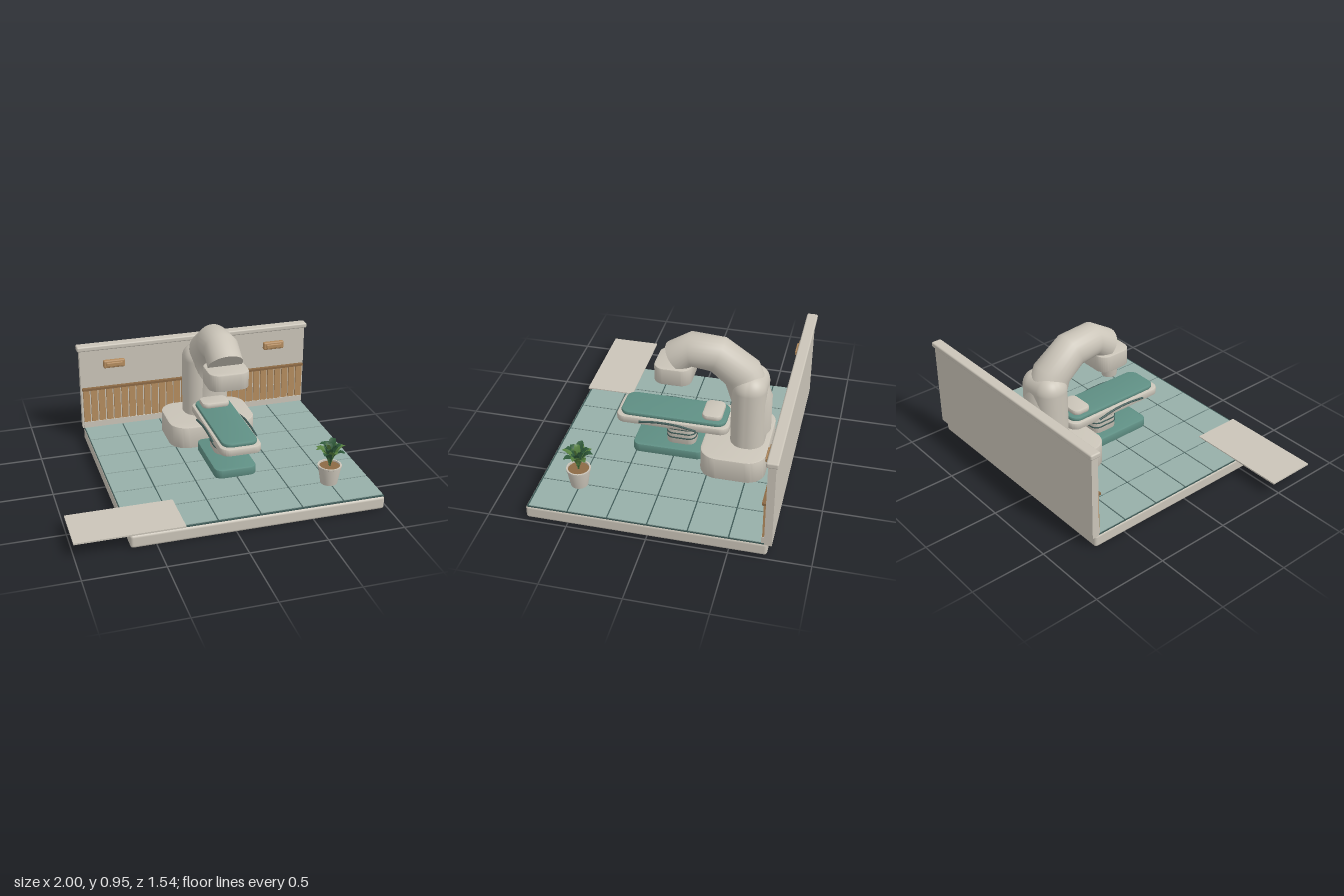
import * as THREE from 'three';
import { toCreasedNormals } from 'three/addons/utils/BufferGeometryUtils.js';
import { RoundedBoxGeometry } from 'three/addons/geometries/RoundedBoxGeometry.js';

const paint = (name, color, side = THREE.FrontSide) => {
  const m = new THREE.MeshStandardMaterial({ color, side });
  m.name = name;
  return m;
};

// Slab with a rounded outline seen from above and a small bevel, standing on y = 0
function slab(w, h, d, r, bevel = 0.008) {
  const s = new THREE.Shape(), x = w / 2, y = d / 2;
  s.moveTo(-x + r, -y);
  s.lineTo(x - r, -y).absarc(x - r, -y + r, r, -Math.PI / 2, 0);
  s.lineTo(x, y - r).absarc(x - r, y - r, r, 0, Math.PI / 2);
  s.lineTo(-x + r, y).absarc(-x + r, y - r, r, Math.PI / 2, Math.PI);
  s.lineTo(-x, -y + r).absarc(-x + r, -y + r, r, Math.PI, Math.PI * 1.5);
  const g = new THREE.ExtrudeGeometry(s, {
    depth: h - 2 * bevel, bevelThickness: bevel, bevelSize: bevel,
    bevelOffset: -bevel, bevelSegments: 2, curveSegments: 8,
  });
  g.rotateX(-Math.PI / 2).translate(0, bevel, 0);
  return toCreasedNormals(g, 0.7);
}

// Bent arm: each ring gives its outer and inner point as [z, y] and its half width
function armGeometry(rings, sides = 28) {
  const pos = [], idx = [];
  for (const [oz, oy, iz, iy, rx] of rings) {
    for (let k = 0; k < sides; k++) {
      const a = (k / sides) * Math.PI * 2, s = Math.sin(a) / 2;
      pos.push(rx * Math.cos(a), (oy + iy) / 2 + s * (oy - iy), (oz + iz) / 2 + s * (oz - iz));
    }
  }
  for (let i = 0; i < rings.length - 1; i++) {
    for (let k = 0; k < sides; k++) {
      const a = i * sides + k, b = i * sides + ((k + 1) % sides);
      idx.push(a, b, a + sides, b, b + sides, a + sides);
    }
  }
  const last = (rings.length - 1) * sides;
  for (let k = 1; k < sides - 1; k++) {
    idx.push(0, k + 1, k, last, last + k, last + k + 1);
  }
  const g = new THREE.BufferGeometry();
  g.setAttribute('position', new THREE.Float32BufferAttribute(pos, 3));
  g.setIndex(idx);
  return toCreasedNormals(g, 0.95);
}

// Folded leaf that rises and bends outwards along +z
function leafGeometry(reach, height, half) {
  const pos = [], idx = [], n = 6;
  for (let i = 0; i <= n; i++) {
    const t = i / n;
    const w = half * (0.15 + 0.85 * Math.sin(Math.PI * Math.pow(t, 1.3))) * (t === 1 ? 0.05 : 1);
    const y = height * Math.sin(t * 1.75), z = reach * Math.pow(t, 1.5);
    pos.push(-w, y + w * 0.35, z, 0, y, z, w, y + w * 0.35, z);
    if (i === n) break;
    for (const k of [0, 1]) {
      const a = i * 3 + k;
      idx.push(a, a + 3, a + 1, a + 1, a + 3, a + 4);
    }
  }
  const g = new THREE.BufferGeometry();
  g.setAttribute('position', new THREE.Float32BufferAttribute(pos, 3));
  g.setIndex(idx);
  g.computeVertexNormals();
  return g;
}

export function createModel() {
  const root = new THREE.Group();
  const beige = paint('warm beige', 0xcac4b8);
  const tileMat = paint('pale teal tile', 0x96aea8);
  const teal = paint('teal', 0x5f8f84);
  const dark = paint('dark teal', 0x3f5a57);
  const wood = paint('wood', 0xb48c5f);
  const darkWood = paint('dark wood', 0x8c6a45);
  const leafLight = paint('leaf green', 0x55803f, THREE.DoubleSide);
  const leafDark = paint('deep leaf green', 0x2f5a3a, THREE.DoubleSide);

  const add = (name, geo, mat, x = 0, y = 0, z = 0, parent = root) => {
    const m = new THREE.Mesh(geo, mat);
    m.name = name;
    m.position.set(x, y, z);
    parent.add(m);
    return m;
  };
  const box = (w, h, d) => new THREE.BoxGeometry(w, h, d);
  const cx = 0.157;

  // Floor: base slab, grout and tiles
  add('baseSlab', new RoundedBoxGeometry(1.635, 0.088, 1.495, 3, 0.018), beige, cx, 0.044, 0.0175);
  add('grout', box(1.628, 0.008, 1.48), dark, cx, 0.088, 0.015);
  const tiles = new THREE.Group();
  tiles.name = 'floorTiles';
  root.add(tiles);
  const tileGeo = box(0.263, 0.012, 0.24);
  for (let i = 0; i < 6; i++) {
    for (let j = 0; j < 6; j++) {
      const t = add('tile', tileGeo, tileMat, cx + (i - 2.5) * 0.2715, 0.091, (j - 2.5) * 0.249, tiles);
      if (j === 0) { t.scale.z = 0.9; t.position.z += 0.012; }
    }
  }
  add('entryMat', box(0.68, 0.01, 0.325), beige, -0.66, 0.098, 0.6075);

  // Back wall with cap, baseboard and slatted wainscot
  add('wall', box(1.65, 0.59, 0.047), beige, cx, 0.385, -0.7335);
  add('wallCap', new RoundedBoxGeometry(1.68, 0.036, 0.072, 2, 0.01), beige, cx, 0.688, -0.735);
  add('baseboard', box(1.63, 0.045, 0.018), beige, cx, 0.118, -0.701);
  add('wainscotRail', box(1.635, 0.016, 0.026), darkWood, cx, 0.389, -0.698);
  const slatGeo = box(0.045, 0.242, 0.014);
  for (let i = 0; i < 30; i++) {
    add('wainscotSlat', slatGeo, wood, cx + (i - 14.5) * 0.0545, 0.261, -0.703);
  }
  for (const x of [-0.43, 0.74]) {
    add('wallLight', new RoundedBoxGeometry(0.152, 0.056, 0.034, 2, 0.01), wood, x, 0.568, -0.693);
    add('wallLightFront', new RoundedBoxGeometry(0.115, 0.03, 0.016, 2, 0.006), wood, x, 0.568, -0.674);
  }

  // Machine: pedestal, column, bent arm and head
  add('pedestal', slab(0.6, 0.158, 0.42, 0.12), beige, cx, 0.092, -0.4);
  add('column', new RoundedBoxGeometry(0.31, 0.59, 0.22, 6, 0.1), beige, cx, 0.445, -0.466);
  add('arm', armGeometry([
    [-0.605, 0.32, -0.345, 0.32, 0.125],
    [-0.605, 0.565, -0.347, 0.515, 0.125],
    [-0.513, 0.793, -0.305, 0.643, 0.12],
    [-0.3, 0.938, -0.215, 0.722, 0.117],
    [-0.073, 0.952, -0.105, 0.739, 0.117],
    [0.077, 0.859, -0.07, 0.69, 0.117],
  ]), beige, cx);
  add('head', slab(0.27, 0.115, 0.24, 0.07), beige, cx, 0.643, 0.015);
  add('headLens', slab(0.21, 0.02, 0.17, 0.06, 0.004), teal, cx, 0.627, 0.015);

  // Treatment table: foot, bellows, tray, cushion, pillow and side rails
  add('tableFoot', slab(0.28, 0.063, 0.47, 0.05), teal, cx, 0.092, 0.04);
  add('tableNeck', slab(0.148, 0.17, 0.19, 0.05, 0.004), beige, cx, 0.145, -0.03);
  for (const y of [0.195, 0.229, 0.262]) {
    add('bellowsRing', slab(0.158, 0.009, 0.2, 0.055, 0.003), dark, cx, y, -0.03);
  }
  add('tableTray', slab(0.275, 0.05, 0.737, 0.06, 0.01), beige, cx, 0.31, 0.017);
  add('tableCushion', slab(0.238, 0.028, 0.69, 0.06, 0.01), teal, cx, 0.357, 0.015);
  add('pillow', slab(0.19, 0.036, 0.13, 0.04, 0.012), beige, cx, 0.383, -0.235);
  for (const s of [-1, 1]) {
    const path = new THREE.CatmullRomCurve3([[0.34, 0.225], [0.353, 0.11], [0.35, -0.02], [0.326, -0.15]]
      .map(([y, z]) => new THREE.Vector3(cx + s * 0.148, y, z)));
    add('sideRail', new THREE.TubeGeometry(path, 16, 0.007, 8), dark);
  }

  // Potted plant
  const plant = new THREE.Group();
  plant.name = 'pottedPlant';
  plant.position.set(0.7, 0.096, 0.505);
  root.add(plant);
  const profile = [[0, 0], [0.054, 0], [0.074, 0.115], [0.077, 0.117], [0.077, 0.128], [0.067, 0.128], [0.066, 0.11]];
  const pot = new THREE.LatheGeometry(profile.map(([x, y]) => new THREE.Vector2(x, y)), 24);
  add('pot', toCreasedNormals(pot, 0.5), beige, 0, 0, 0, plant);
  add('soil', new THREE.CylinderGeometry(0.068, 0.068, 0.008, 24), darkWood, 0, 0.114, 0, plant);
  const rows = [[8, 0.1, 0.135, 0.028, leafLight, 0], [6, 0.075, 0.17, 0.024, leafDark, 0.4], [3, 0.04, 0.165, 0.02, leafLight, 0.9]];
  for (const [count, reach, height, half, mat, turn] of rows) {
    const geo = leafGeometry(reach, height, half);
    for (let i = 0; i < count; i++) {
      const leaf = add('leaf', geo, mat, 0, 0.115, 0, plant);
      leaf.rotation.y = turn + (i / count) * Math.PI * 2;
      leaf.scale.y = 1 - 0.12 * (i % 2);
      if (mat === leafLight && i % 3 === 1) leaf.material = leafDark;
    }
  }
  return root;
}
